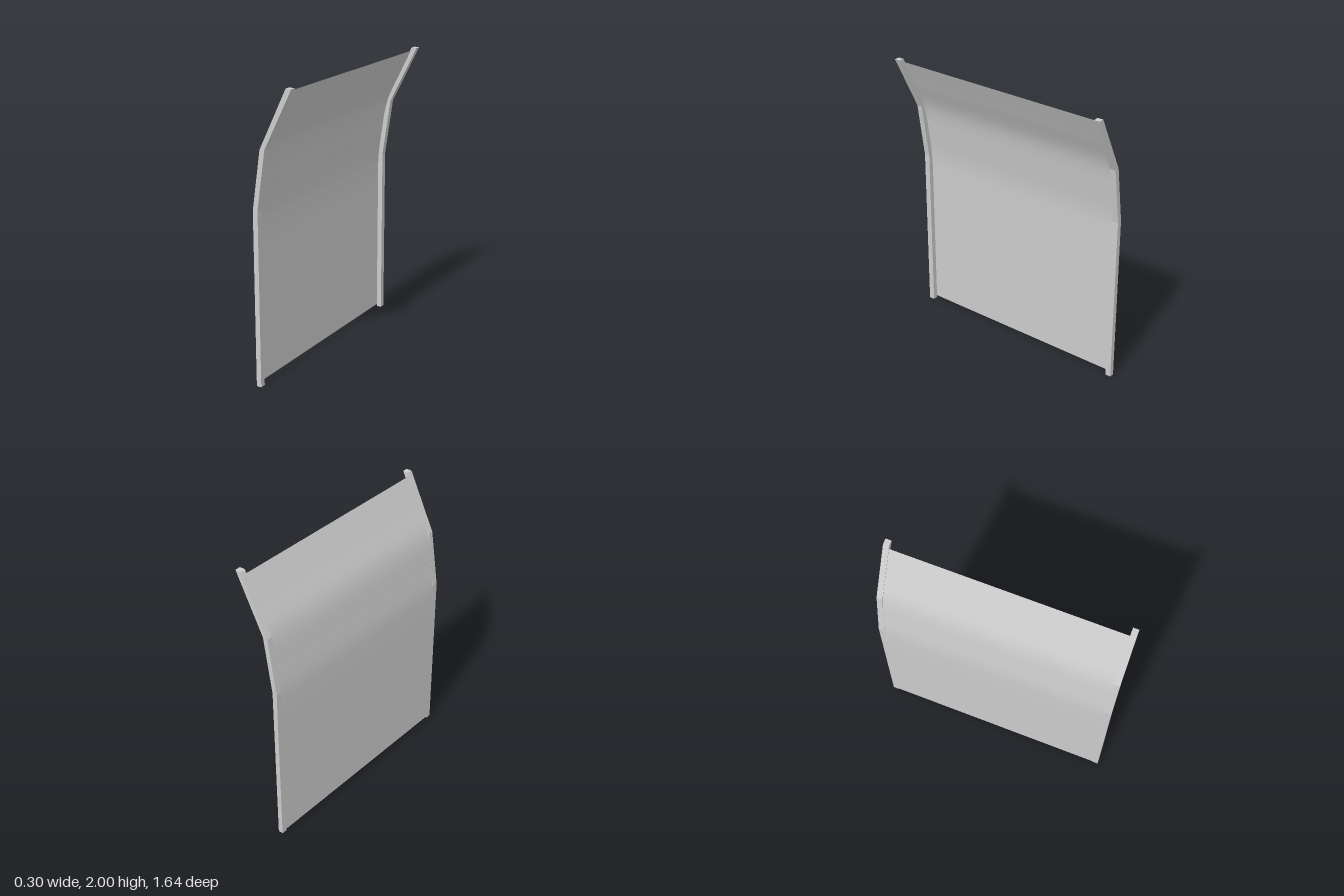
import * as THREE from 'three';

// Outline of one bent rail in the x-y plane
const RAIL = [
  [-0.15, 0], [-0.115, 0], [-0.115, 1.2], [-0.055, 1.6],
  [0.147, 2], [0.107, 2], [-0.09, 1.6], [-0.15, 1.2],
];
const RAIL_WIDTH = 0.04;
const HALF_SPAN = 0.8;

// Smooth profile of the thin sheet
const SHEET = [
  [-0.151, 0.015], [-0.151, 0.4], [-0.151, 0.8], [-0.151, 1.05], [-0.146, 1.2],
  [-0.125, 1.36], [-0.08, 1.6], [0.014, 1.8], [0.1, 1.975],
];

export function createModel() {
  const group = new THREE.Group();
  const material = new THREE.MeshStandardMaterial({ color: 0xcccccc });
  const sheetMaterial = new THREE.MeshStandardMaterial({ color: 0xcccccc, side: THREE.DoubleSide });

  // Bent rails at both ends
  const shape = new THREE.Shape(RAIL.map(([x, y]) => new THREE.Vector2(x, y)));
  const railGeometry = new THREE.ExtrudeGeometry(shape, { depth: RAIL_WIDTH, bevelEnabled: false });
  railGeometry.translate(0, 0, -RAIL_WIDTH / 2);
  for (const [name, side] of [['frontRail', 1], ['backRail', -1]]) {
    const rail = new THREE.Mesh(railGeometry, material);
    rail.name = name;
    rail.position.z = side * HALF_SPAN;
    group.add(rail);
  }

  // Curved sheet stretched between the rails
  const curve = new THREE.CatmullRomCurve3(SHEET.map(([x, y]) => new THREE.Vector3(x, y, 0)));
  const sheetGeometry = new THREE.PlaneGeometry(2 * HALF_SPAN, 1, 1, 48);
  const pos = sheetGeometry.attributes.position;
  for (let i = 0; i < pos.count; i++) {
    const p = curve.getPoint(THREE.MathUtils.clamp(pos.getY(i) + 0.5, 0, 1));
    pos.setXYZ(i, p.x, p.y, -pos.getX(i));
  }
  sheetGeometry.computeVertexNormals();
  const sheet = new THREE.Mesh(sheetGeometry, sheetMaterial);
  sheet.name = 'curvedSheet';
  group.add(sheet);

  return group;
}
